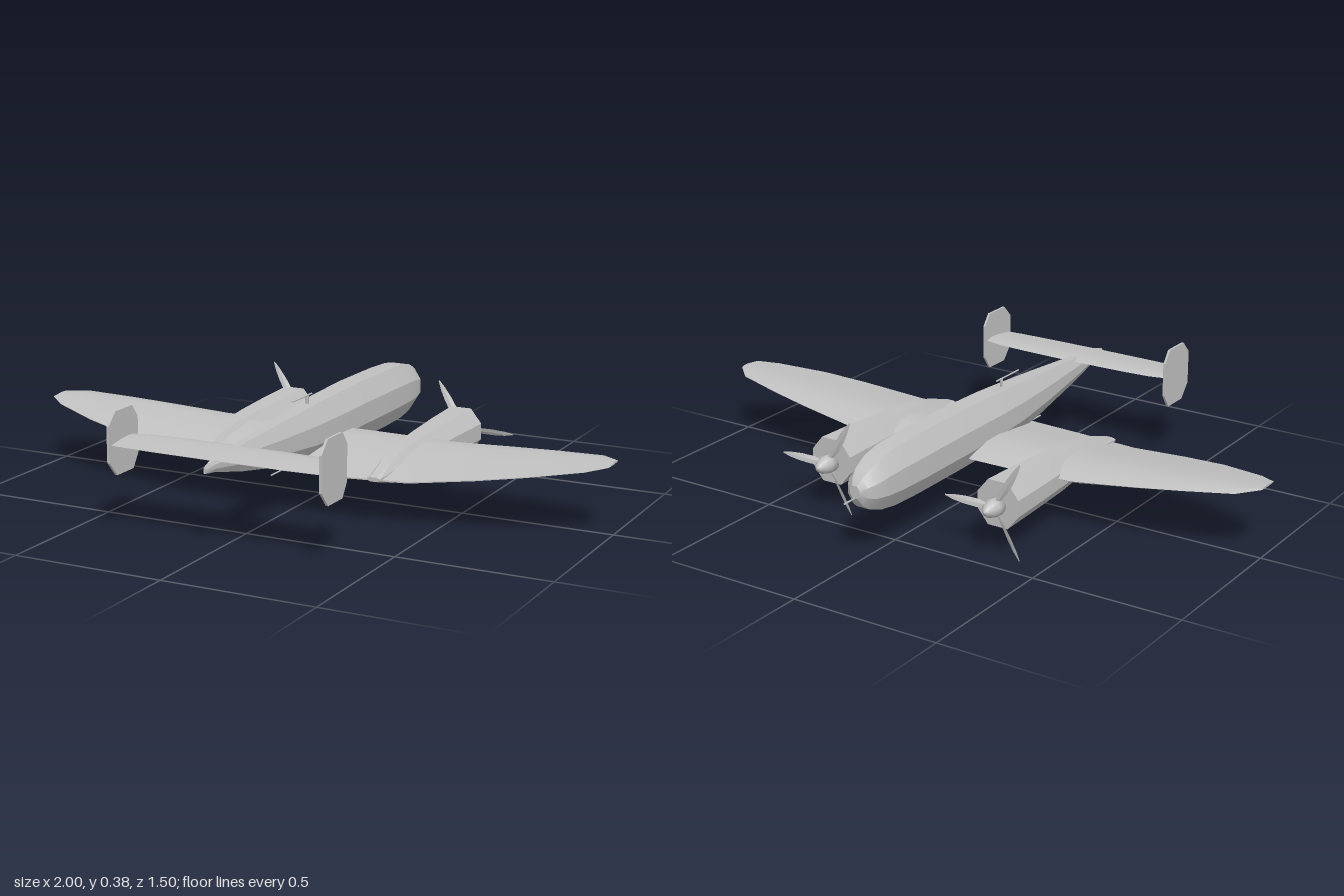
import * as THREE from 'three';
import { toCreasedNormals } from 'three/addons/utils/BufferGeometryUtils.js';

const grey = new THREE.MeshStandardMaterial({ color: 0xc0c0c0 });
grey.name = 'airframe grey';

function add(parent, name, geometry, x = 0, y = 0, z = 0) {
  const mesh = new THREE.Mesh(geometry, grey);
  mesh.name = name;
  mesh.position.set(x, y, z);
  parent.add(mesh);
  return mesh;
}

// Skin a row of closed rings, cap both ends and turn the faces outward
function loft(rings, crease = 0.45) {
  const n = rings[0].length;
  const pos = rings.flat(2);
  let idx = [];
  for (let r = 0; r < rings.length - 1; r++) {
    for (let i = 0; i < n; i++) {
      const a = r * n + i, b = r * n + (i + 1) % n;
      idx.push(a, b, b + n, a, b + n, a + n);
    }
  }
  const end = (rings.length - 1) * n;
  for (let i = 1; i < n - 1; i++) idx.push(0, i + 1, i, end, end + i, end + i + 1);
  const v = k => new THREE.Vector3().fromArray(pos, k * 3);
  let volume = 0;
  for (let i = 0; i < idx.length; i += 3) volume += v(idx[i]).dot(v(idx[i + 1]).cross(v(idx[i + 2])));
  if (volume < 0) idx = idx.reverse();
  const g = new THREE.BufferGeometry();
  g.setAttribute('position', new THREE.Float32BufferAttribute(pos, 3));
  g.setIndex(idx);
  return toCreasedNormals(g, crease);
}

// Eight-sided body section: half width w, bottom and top heights
function octagon(z, w, bottom, top, flat = 0.48) {
  const h = top - bottom, f = w * flat;
  const lo = bottom + h * 0.32, hi = bottom + h * 0.68;
  return [[f, top], [w, hi], [w, lo], [f, bottom], [-f, bottom], [-w, lo], [-w, hi], [-f, top]]
    .map(([x, y]) => [x, y, z]);
}

// Aerofoil section: leading and trailing z and y, thickness
const foil = [[0, 0], [0.06, 0.32], [0.18, 0.56], [0.35, 0.64], [0.6, 0.47], [0.82, 0.22], [1, 0.03],
  [1, -0.03], [0.7, -0.25], [0.35, -0.36], [0.1, -0.26]];
function aerofoil(x, z0, z1, y0, y1, t) {
  return foil.map(([c, h]) => [x, y0 + (y1 - y0) * c + h * t, z0 + (z1 - z0) * c]);
}

// Half-span stations mirrored into a full span
function span(stations) {
  const left = stations.map(s => aerofoil(...s));
  const right = stations.slice(1).reverse().map(([x, ...s]) => aerofoil(-x, ...s));
  return loft([...right, ...left]);
}

function rod(parent, name, r0, r1, length, x, y, z) {
  const g = new THREE.CylinderGeometry(r1, r0, length, 6);
  g.rotateX(Math.PI / 2);
  return add(parent, name, g, x, y, z);
}

function makePropeller() {
  const prop = new THREE.Group();
  prop.name = 'propeller';
  // Spinner pointing toward the nose
  const profile = [[0, -0.02], [0.03, -0.02], [0.03, 0.01], [0.024, 0.032], [0.012, 0.05], [0, 0.056]];
  const spinner = new THREE.LatheGeometry(profile.map(p => new THREE.Vector2(...p)), 10);
  spinner.rotateX(-Math.PI / 2);
  add(prop, 'spinner', spinner);
  // Three twisted blades
  const blade = loft([[0.015, 0.006, 0.004], [0.06, 0.013, 0.003], [0.11, 0.012, 0.002],
    [0.15, 0.008, 0.0015], [0.18, 0.002, 0.001]].map(([r, w, t]) => {
    const twist = 0.75 - r * 3;
    const c = Math.cos(twist), s = Math.sin(twist);
    return [[-w, 0], [0, t], [w, 0], [0, -t]].map(([u, q]) => [r, u * c - q * s, u * s + q * c]);
  }));
  for (let i = 0; i < 3; i++) add(prop, 'blade', blade).rotation.z = i * Math.PI * 2 / 3;
  return prop;
}

export function createModel() {
  const plane = new THREE.Group();
  plane.name = 'twin engine aircraft';

  // Fuselage: z, half width, bottom, top
  add(plane, 'fuselage', loft([
    [-0.7, 0.018, 0.21, 0.25], [-0.685, 0.036, 0.185, 0.272], [-0.66, 0.05, 0.165, 0.29],
    [-0.61, 0.06, 0.148, 0.312], [-0.54, 0.065, 0.138, 0.325], [-0.42, 0.068, 0.135, 0.33],
    [-0.2, 0.068, 0.135, 0.332], [0, 0.065, 0.137, 0.327], [0.15, 0.058, 0.147, 0.319],
    [0.32, 0.046, 0.17, 0.309], [0.54, 0.027, 0.209, 0.294], [0.7, 0.013, 0.245, 0.282],
    [0.745, 0.004, 0.25, 0.27],
  ].map(s => octagon(...s))));

  // Wing: x, leading z, trailing z, leading y, trailing y, thickness
  add(plane, 'wing', span([
    [0, -0.172, 0.275, 0.17, 0.146, 0.072], [0.2, -0.168, 0.265, 0.17, 0.146, 0.071],
    [0.42, -0.156, 0.242, 0.172, 0.15, 0.066], [0.63, -0.131, 0.208, 0.192, 0.176, 0.049],
    [0.78, -0.108, 0.172, 0.207, 0.196, 0.035], [0.94, -0.075, 0.11, 0.223, 0.217, 0.018],
    [1, -0.02, 0.065, 0.23, 0.228, 0.007],
  ]));

  // Engine nacelles and propellers
  const nacelle = loft([
    [-0.405, 0.074, 0.086, 0.235], [-0.25, 0.068, 0.09, 0.231], [-0.08, 0.058, 0.094, 0.224],
    [0.05, 0.046, 0.103, 0.215], [0.16, 0.035, 0.118, 0.194], [0.265, 0.022, 0.146, 0.16],
  ].map(s => octagon(...s)), 0.3);
  for (const side of [-1, 1]) {
    add(plane, 'nacelle', nacelle, side * 0.315);
    const prop = makePropeller();
    prop.position.set(side * 0.315, 0.157, -0.424);
    plane.add(prop);
  }

  // Tailplane
  add(plane, 'tailplane', span([
    [0, 0.532, 0.703, 0.284, 0.28, 0.016], [0.2, 0.536, 0.701, 0.284, 0.28, 0.016],
    [0.3, 0.543, 0.698, 0.284, 0.28, 0.015], [0.36, 0.557, 0.694, 0.284, 0.28, 0.013],
  ]));

  // Twin octagonal fins
  const finShape = new THREE.Shape([[0.542, 0.225], [0.572, 0.18], [0.664, 0.18], [0.705, 0.227],
    [0.705, 0.34], [0.666, 0.38], [0.572, 0.38], [0.542, 0.34]].map(([z, y]) => new THREE.Vector2(-z, y)));
  const fin = new THREE.ExtrudeGeometry(finShape, { depth: 0.008, bevelEnabled: false });
  fin.translate(0, 0, -0.004).rotateY(Math.PI / 2);
  for (const side of [-1, 1]) add(plane, 'fin', fin, side * 0.36);

  // Nose, dorsal and belly guns
  rod(plane, 'noseGun', 0.004, 0.002, 0.07, 0, 0.21, -0.715);
  rod(plane, 'dorsalGun', 0.003, 0.003, 0.13, 0, 0.349, 0.135);
  add(plane, 'dorsalMount', new THREE.CylinderGeometry(0.005, 0.005, 0.034, 6), 0, 0.333, 0.1);
  rod(plane, 'bellyGun', 0.003, 0.003, 0.14, 0, 0.145, 0.27);
  return plane;
}
